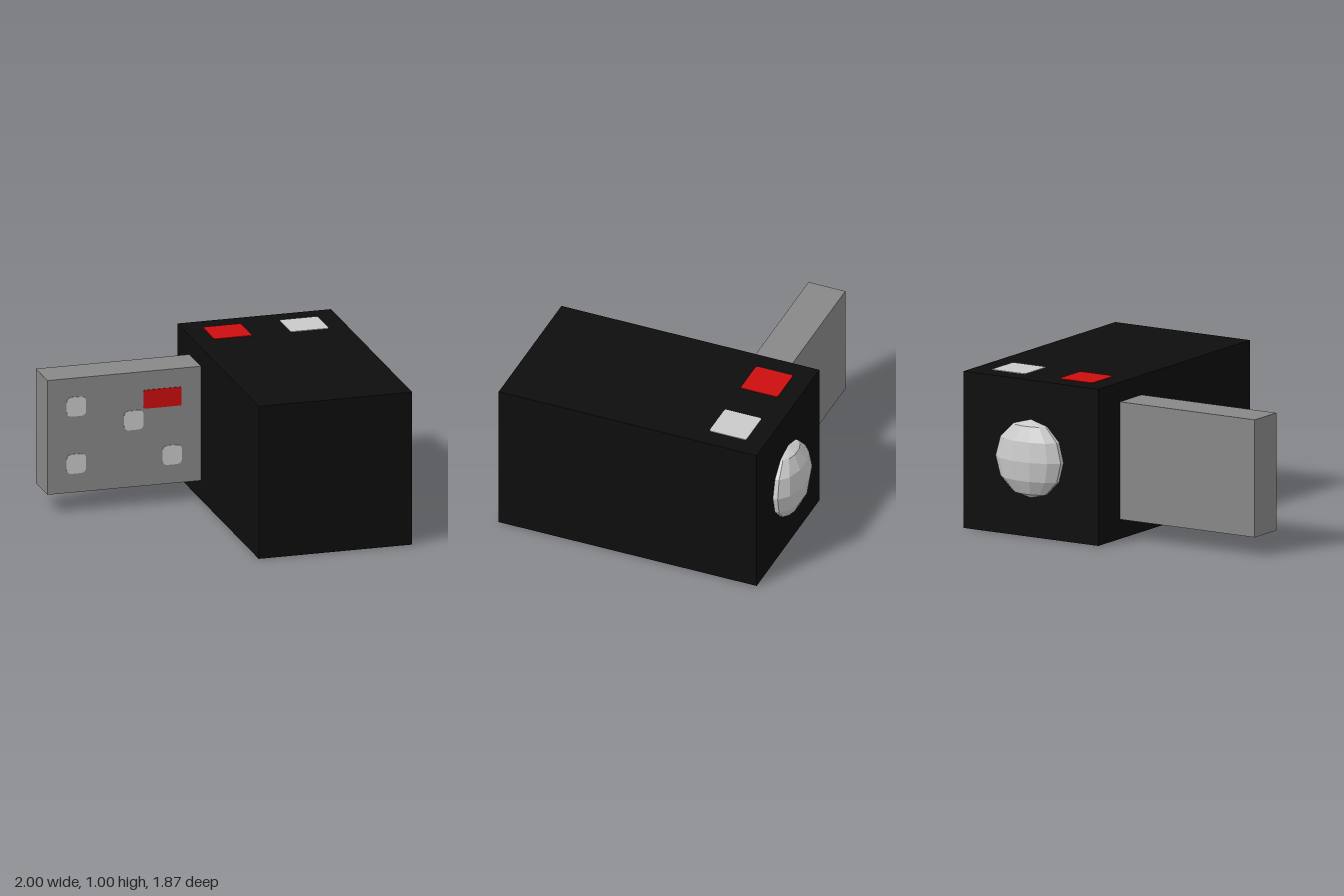
import * as THREE from 'three';

const material = (name, color, flatShading = false) => {
  const m = new THREE.MeshStandardMaterial({ color, flatShading });
  m.name = name;
  return m;
};

// Thin plate with rounded corners, lying in the xy plane and facing +z
function plateGeometry(w, h, r) {
  const x = w / 2, y = h / 2, s = new THREE.Shape();
  s.moveTo(-x + r, -y);
  s.lineTo(x - r, -y);
  s.quadraticCurveTo(x, -y, x, -y + r);
  s.lineTo(x, y - r);
  s.quadraticCurveTo(x, y, x - r, y);
  s.lineTo(-x + r, y);
  s.quadraticCurveTo(-x, y, -x, y - r);
  s.lineTo(-x, -y + r);
  s.quadraticCurveTo(-x, -y, -x + r, -y);
  return new THREE.ExtrudeGeometry(s, { depth: 0.004, bevelEnabled: false, curveSegments: 4 });
}

export function createModel() {
  const model = new THREE.Group();
  model.name = 'model';
  const black = material('black casing', 0x0d0d0d);
  const grey = material('grey panel', 0x888888);
  const red = material('red button', 0xcc0d0d);
  const light = material('light grey', 0xcacaca, true);

  const add = (name, geometry, mat, x, y, z) => {
    const mesh = new THREE.Mesh(geometry, mat);
    mesh.name = name;
    mesh.position.set(x, y, z);
    model.add(mesh);
    return mesh;
  };

  // Main casing and the side panel
  add('body', new THREE.BoxGeometry(1, 1, 1.75), black, 0.5, 0.5, 0.0625);
  add('sidePanel', new THREE.BoxGeometry(1, 0.75, 0.25), grey, -0.5, 0.5, -0.4375);

  // Faceted, flattened lens on the back
  const lens = new THREE.SphereGeometry(0.25, 12, 6, Math.PI / 12);
  lens.scale(1, 1, 0.5);
  add('lens', lens, light, 0.5, 0.5, -0.8125);

  // Buttons on top of the casing
  for (const [name, mat, x] of [['topRedButton', red, 0.25], ['topLightButton', light, 0.75]]) {
    add(name, plateGeometry(0.25, 0.25, 0.015), mat, x, 1, -0.5625).rotation.x = -Math.PI / 2;
  }

  // Buttons on the front of the side panel
  const front = -0.3125;
  [[-0.8125, 0.6875], [-0.8125, 0.3125], [-0.4375, 0.5625], [-0.1875, 0.3125]].forEach(([x, y], i) =>
    add(`panelButton${i + 1}`, plateGeometry(0.127, 0.127, 0.035), light, x, y, front));
  add('panelRedButton', plateGeometry(0.247, 0.122, 0.01), red, -0.25, 0.6925, front);

  return model;
}
